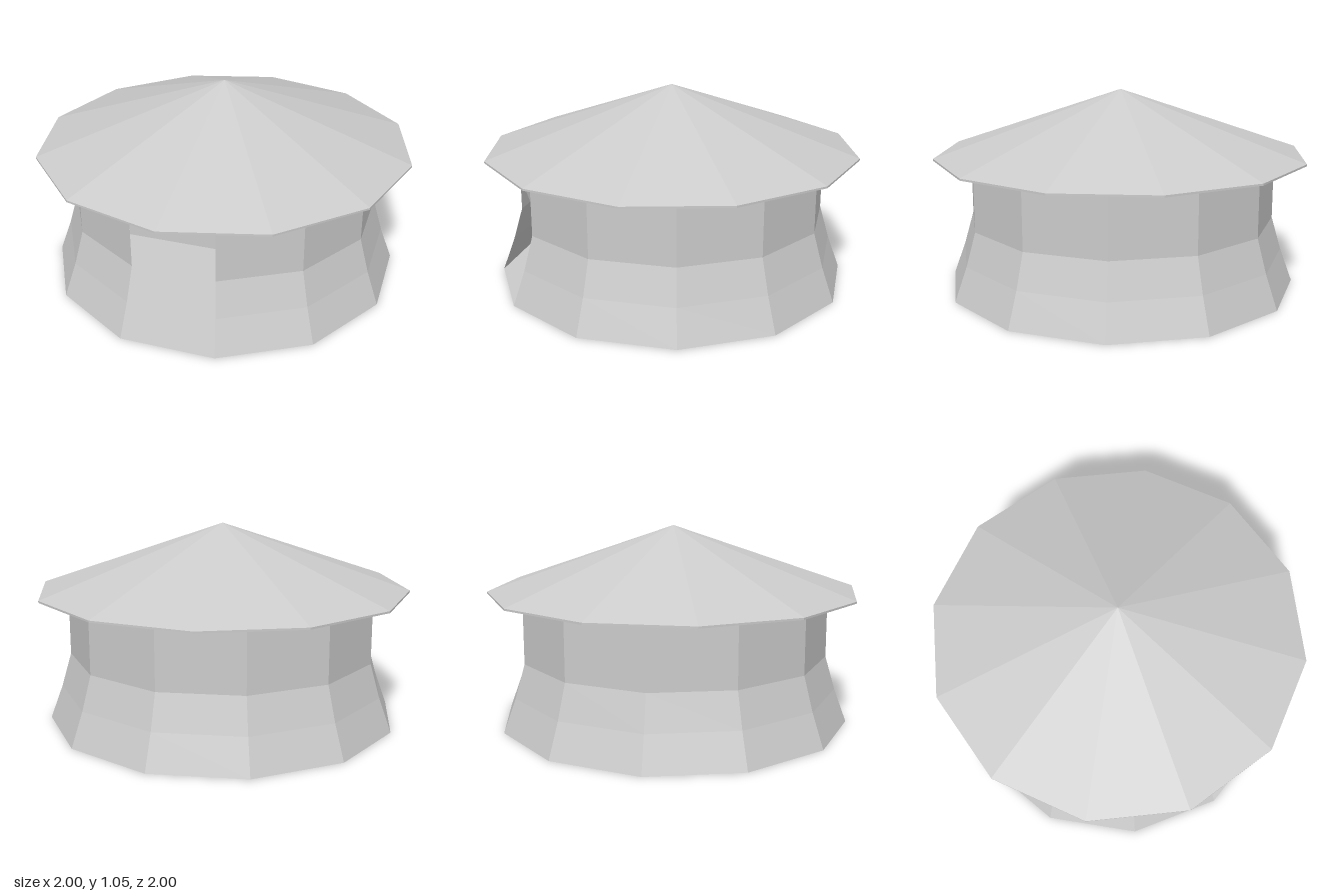
import * as THREE from 'three';

const SIDES = 12;
const STEP = (Math.PI * 2) / SIDES;

const material = new THREE.MeshStandardMaterial({
  color: 0xcccccc,
  flatShading: true,
  side: THREE.DoubleSide,
});

// Faceted surface of revolution; angle 0 points to the front (+z)
function faceted(name, profile, segments, start) {
  const points = profile.map(([r, y]) => new THREE.Vector2(r, y));
  const geometry = new THREE.LatheGeometry(points, segments, start, segments * STEP).toNonIndexed();
  geometry.computeVertexNormals();
  const mesh = new THREE.Mesh(geometry, material);
  mesh.name = name;
  return mesh;
}

export function createModel() {
  const hut = new THREE.Group();
  hut.name = 'roundHut';

  // Thin wall flaring towards the ground, with the front panel left out
  const wall = [[0.949, 0], [0.882, 0.18], [0.829, 0.36], [0.828, 0.75]];
  hut.add(faceted('wall', wall, SIDES - 1, STEP / 2));

  // Lintel panel above the doorway
  hut.add(faceted('doorLintel', [[0.828, 0.54], [0.828, 0.75]], 1, -STEP / 2));

  // Floor, seen through the doorway and from below
  const floor = new THREE.Mesh(new THREE.CircleGeometry(0.949, SIDES, STEP / 2), material);
  floor.rotation.x = -Math.PI / 2;
  floor.name = 'floor';
  hut.add(floor);

  // Hollow conical roof: underside, narrow rim, top
  const roof = [[0, 1.045], [1, 0.7], [1, 0.71], [0, 1.055]];
  hut.add(faceted('roof', roof, SIDES, 0));

  return hut;
}
